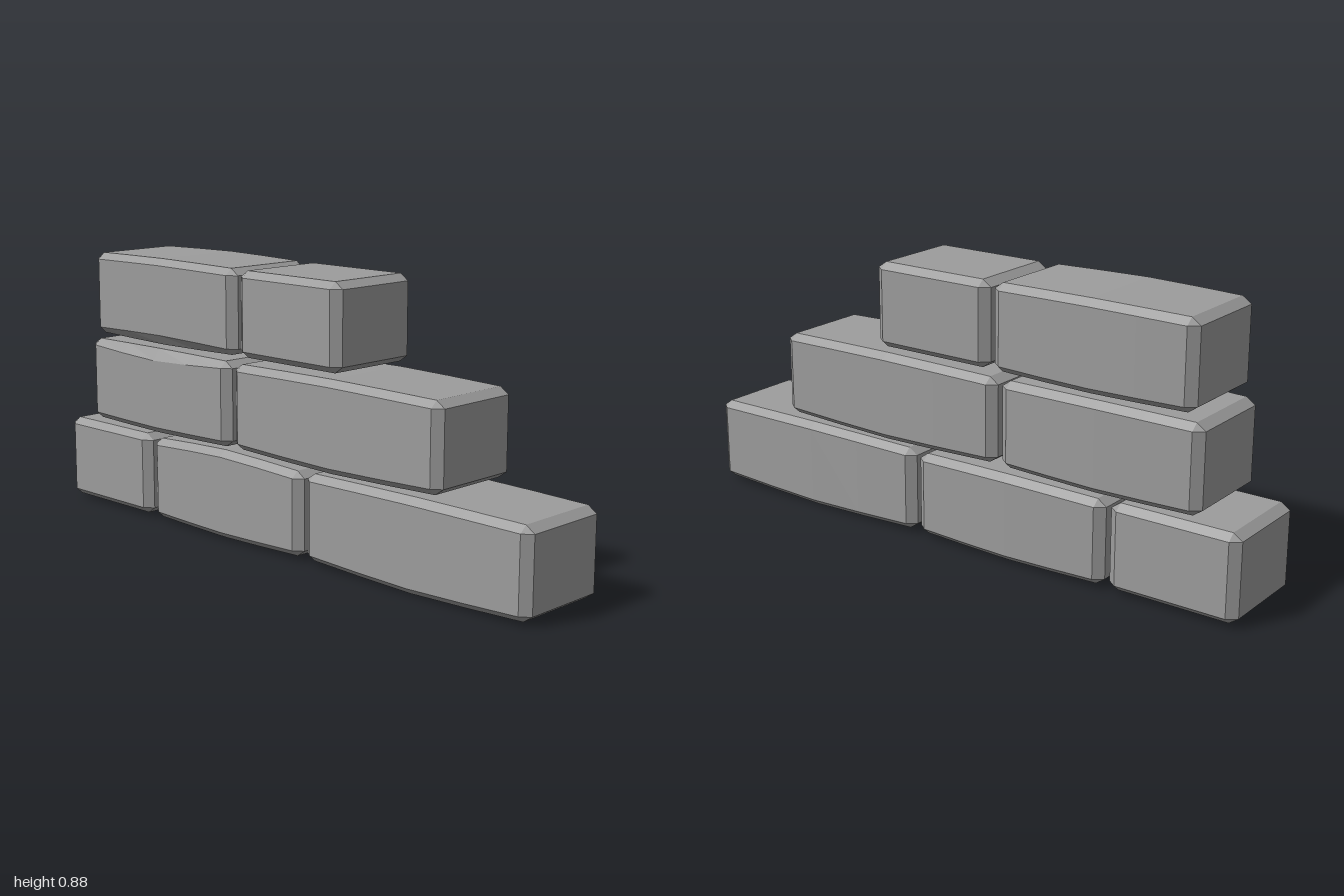
import * as THREE from 'three';

const BEVEL_Y = 0.021, BEVEL_Z = 0.024, END = 0.03, HALF_DEPTH = 0.167;

// Eight-sided section at x; bevel 0 collapses it to the end face.
// The front edges (+z) can rise or fall, widening the bevel where they cut inwards.
function section(x, lo, hi, half, frontTop, frontLow, bevel) {
  const top = hi - BEVEL_Y, low = lo + BEVEL_Y, d = half - BEVEL_Z;
  const by = BEVEL_Y * bevel, bz = BEVEL_Z * bevel;
  return [
    [top + by, -d], [top + by + Math.max(frontTop, 0), d],
    [top + frontTop, d + bz], [low + frontLow, d + bz],
    [low - by, d], [low - by, -d],
    [low, -d - bz], [top, -d - bz],
  ].map(([y, z]) => new THREE.Vector3(x, y, z));
}

// Worn brick: bevelled ends, gently bulging between them.
function brickGeometry({ x0, x1, lo, hi, top = 0, low = 0, frontTop = 0, frontLow = 0 }) {
  const weights = x1 - x0 > 0.5 ? [0, 0.6, 1, 0.6, 0] : [0, 0];
  const a = x0 + END, span = x1 - x0 - 2 * END;
  const rings = [section(x0, lo, hi, HALF_DEPTH, 0, 0, 0)];
  weights.forEach((w, i) => rings.push(section(
    a + span * i / (weights.length - 1), lo + low * w, hi + top * w,
    HALF_DEPTH + 0.008 * w, frontTop * w, frontLow * w, 1)));
  rings.push(section(x1, lo, hi, HALF_DEPTH, 0, 0, 0));

  const pts = [];
  const tri = (p, q, r) => {
    const area = q.clone().sub(p).cross(r.clone().sub(p)).length();
    if (area > 1e-8) pts.push(p, q, r);
  };
  for (let i = 0; i + 1 < rings.length; i++) {
    for (let k = 0; k < 8; k++) {
      const n = (k + 1) % 8, r = rings[i], s = rings[i + 1];
      tri(r[k], r[n], s[n]);
      tri(r[k], s[n], s[k]);
    }
  }
  // End faces
  const first = rings[0], last = rings[rings.length - 1];
  for (let k = 1; k < 7; k++) {
    tri(first[0], first[k + 1], first[k]);
    tri(last[0], last[k], last[k + 1]);
  }
  const g = new THREE.BufferGeometry().setFromPoints(pts);
  g.computeVertexNormals();
  return g;
}

export function createModel() {
  const wall = new THREE.Group();
  wall.name = 'brickWall';
  const material = new THREE.MeshStandardMaterial({ color: 0x9d9d9d, flatShading: true });

  const courses = {
    bottomCourse: [
      { x0: -1, x1: -0.574, lo: 0.01, hi: 0.285 },
      { x0: -0.557, x1: 0.136, lo: 0.01, hi: 0.28, top: 0.006, low: -0.005, frontTop: 0.009 },
      { x0: 0.15, x1: 1, lo: 0.01, hi: 0.284, top: 0.006, low: -0.01 },
    ],
    middleCourse: [
      { x0: -0.871, x1: -0.182, lo: 0.304, hi: 0.579, top: 0.004, low: -0.004, frontTop: -0.018 },
      { x0: -0.166, x1: 0.682, lo: 0.306, hi: 0.578, top: 0.007, low: -0.008 },
    ],
    topCourse: [
      { x0: -0.842, x1: -0.153, lo: 0.602, hi: 0.874, top: 0.005, low: -0.004, frontLow: 0.012 },
      { x0: -0.139, x1: 0.292, lo: 0.602, hi: 0.873 },
    ],
  };

  for (const [name, bricks] of Object.entries(courses)) {
    const course = new THREE.Group();
    course.name = name;
    bricks.forEach((spec, i) => {
      const brick = new THREE.Mesh(brickGeometry(spec), material);
      brick.name = `brick${i + 1}`;
      course.add(brick);
    });
    wall.add(course);
  }
  return wall;
}
